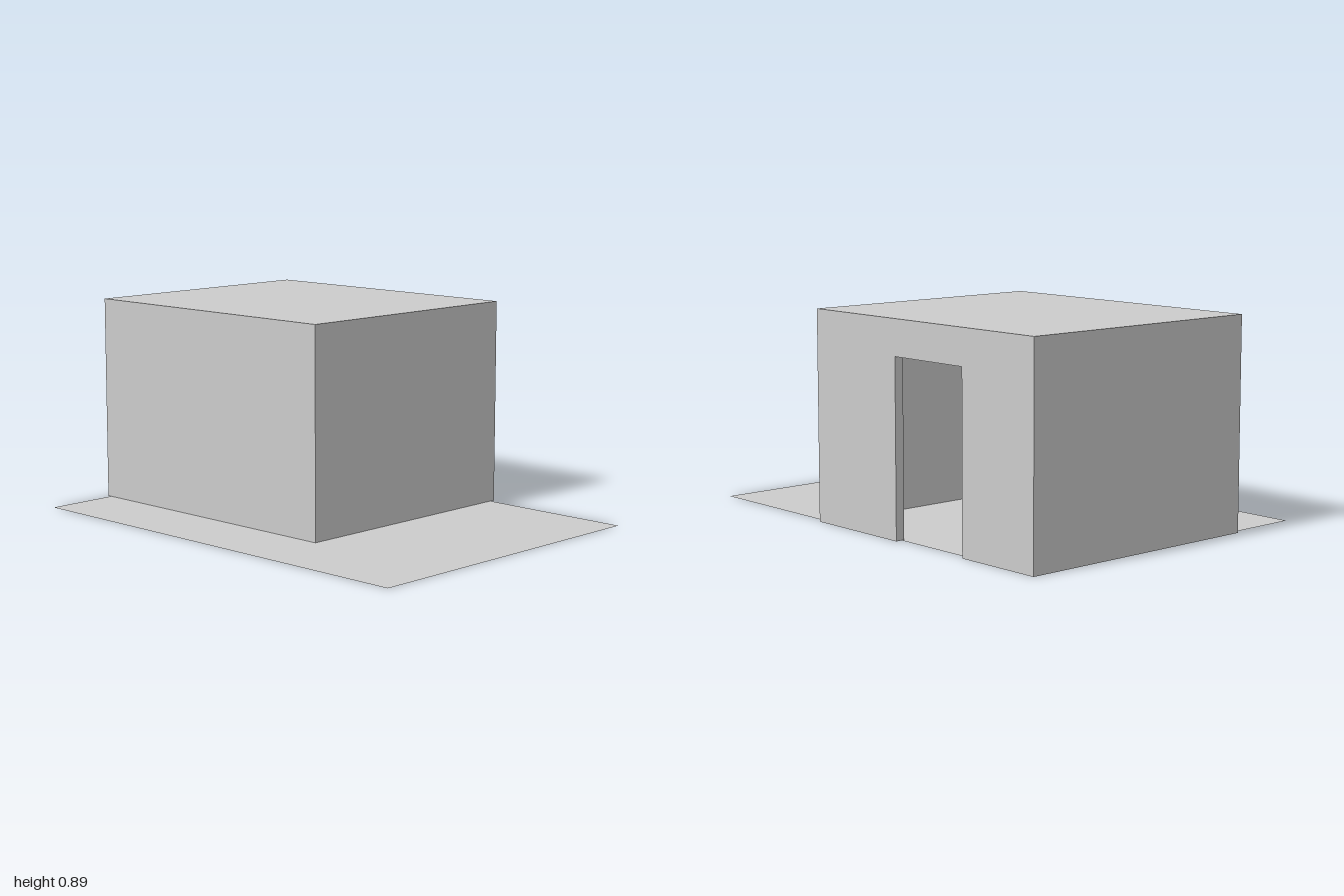
import * as THREE from 'three';

const X0 = -1, X1 = 0.305, Z0 = -0.73, Z1 = 0.4, H = 0.89, T = 0.04;

export function createModel() {
  const group = new THREE.Group();
  const mat = new THREE.MeshStandardMaterial({ color: 0xcccccc, flatShading: true });
  const sheet = new THREE.MeshStandardMaterial({ color: 0xcccccc, side: THREE.DoubleSide });

  const add = (name, geometry, material = mat) => {
    const mesh = new THREE.Mesh(geometry, material);
    mesh.name = name;
    group.add(mesh);
    return mesh;
  };
  // Box given by its minimum and maximum corners
  const slab = (name, x0, x1, y0, y1, z0, z1) =>
    add(name, new THREE.BoxGeometry(x1 - x0, y1 - y0, z1 - z0))
      .position.set((x0 + x1) / 2, (y0 + y1) / 2, (z0 + z1) / 2);

  // Roof and the three closed walls
  const top = H - T;
  slab('roof', X0, X1, top, H, Z0, Z1);
  slab('frontWall', X0, X1, 0, top, Z1 - T, Z1);
  slab('leftWall', X1 - T, X1, 0, top, Z0 + T, Z1 - T);
  slab('rightWall', X0, X0 + T, 0, top, Z0 + T, Z1 - T);

  // Back wall, its outline running around the doorway
  const doorX0 = -0.6, doorX1 = -0.2, doorH = 0.74;
  const outline = new THREE.Shape([
    [X0, 0], [doorX0, 0], [doorX0, doorH], [doorX1, doorH],
    [doorX1, 0], [X1, 0], [X1, top], [X0, top],
  ].map(([x, y]) => new THREE.Vector2(x, y)));
  add('backWall', new THREE.ExtrudeGeometry(outline, { depth: T, bevelEnabled: false }))
    .position.z = Z0;

  // Thin ground sheet, also the floor of the room
  const ground = add('ground', new THREE.PlaneGeometry(1.98, 1.43).rotateX(-Math.PI / 2), sheet);
  ground.position.set(0.01, 0.001, 0.01);

  return group;
}
